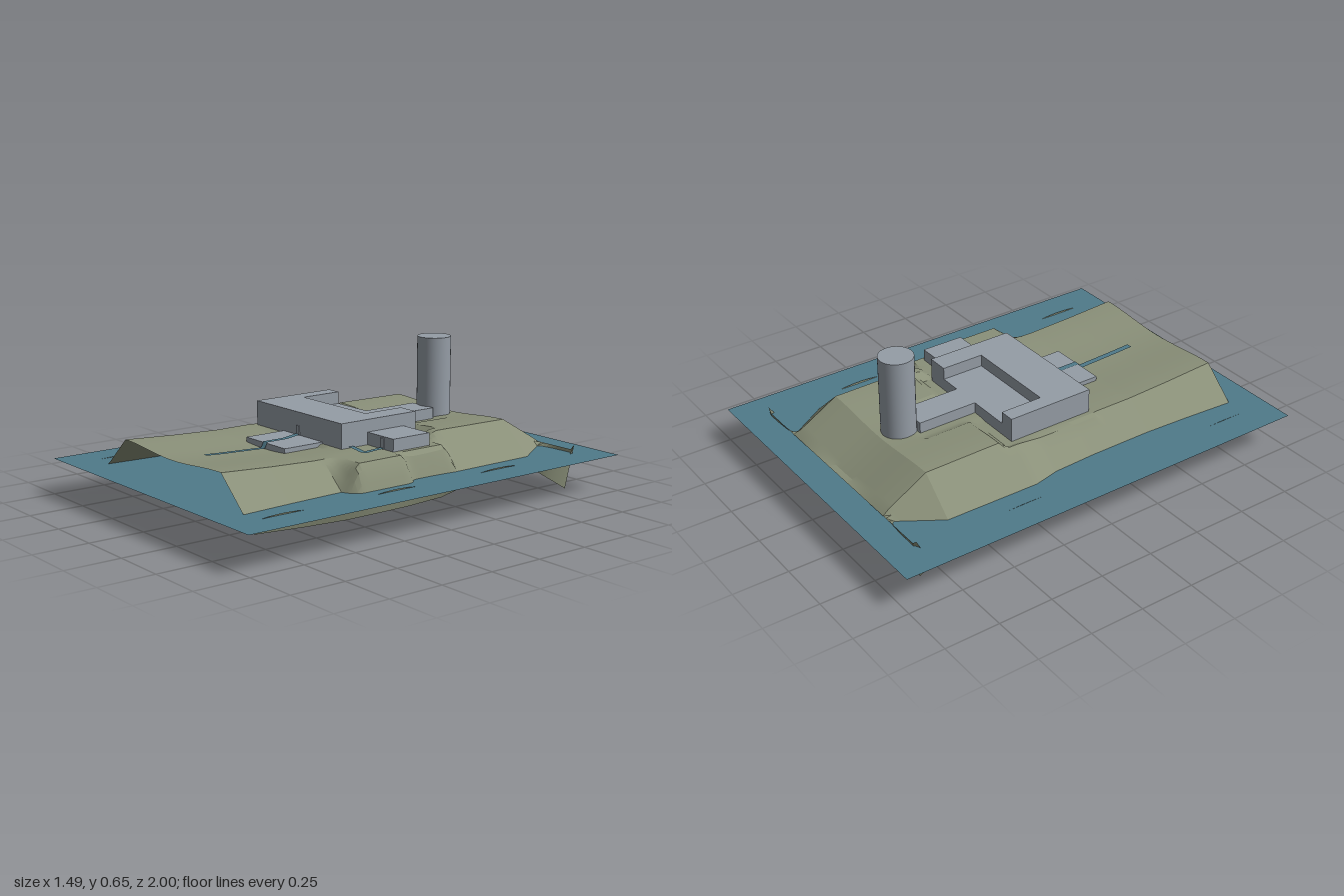
import * as THREE from 'three';
import { toCreasedNormals } from 'three/addons/utils/BufferGeometryUtils.js';

const WATER_Y = 0.168;
const { lerp, clamp } = THREE.MathUtils;

// Piecewise linear curve through [position, value] pairs
function curve(keys, t) {
  for (let i = 1; i < keys.length; i++) {
    const [a, va] = keys[i - 1], [b, vb] = keys[i];
    if (t <= b) return lerp(va, vb, clamp((t - a) / (b - a), 0, 1));
  }
  return keys[keys.length - 1][1];
}

// Ridge height along the island, back to front
const RIDGE = [[-0.84, 0.205], [-0.66, 0.31], [-0.22, 0.315], [-0.1, 0.29], [0.1, 0.282], [0.4, 0.281], [0.62, 0.29], [0.86, 0.304]];
// Levelled ground: x0, x1, z0, z1, height, falloff
const PADS = [
  [-0.37, 0.29, -0.27, 0.2, 0.28, 0.02],
  [-0.11, 0.11, -0.5, -0.2, 0.285, 0.03],
  [0.27, 0.47, -0.2, 0.06, 0.28, 0.05],
  [0.36, 0.505, 0.06, 0.29, 0.28, 0.07],
];

function groundHeight(x, z) {
  const ax = Math.abs(x);
  const across = ax > 0.36 ? -(ax - 0.36) * 0.905 : -0.01 - 0.01 * Math.cos(Math.PI * ax / 0.36);
  let y = curve(RIDGE, z) + across;
  for (const [x0, x1, z0, z1, h, fall] of PADS) {
    const d = Math.hypot(Math.max(x0 - x, 0, x - x1), Math.max(z0 - z, 0, z - z1));
    y = lerp(y, h, clamp(1 - d / fall, 0, 1));
  }
  return y;
}

// Island sheet with a raised lip along both sides and the back
function islandGeometry() {
  const xs = [-0.608], zs = [-0.868];
  for (let i = 0; i <= 58; i++) xs.push(-0.58 + i * 0.02);
  xs.push(0.602);
  for (let j = 0; j <= 85; j++) zs.push(-0.84 + j * 0.02);
  const pos = [], idx = [], n = xs.length;
  zs.forEach((z, j) => xs.forEach((x, i) => {
    const side = i === 0 || i === n - 1;
    let y;
    if (j === 0) y = side ? 0.205 : 0.182;
    else if (side) y = x > 0 ? 0.163 + 0.012 * Math.sin(11 * z + 6) : 0.158 + 0.012 * Math.sin(5.8 * z - 2.7);
    else y = groundHeight(x, z);
    pos.push(x, y, z);
    if (i < n - 1 && j < zs.length - 1) {
      const a = j * n + i, b = a + n;
      idx.push(a, b, a + 1, a + 1, b, b + 1);
    }
  }));
  const g = new THREE.BufferGeometry();
  g.setAttribute('position', new THREE.Float32BufferAttribute(pos, 3));
  g.setIndex(idx);
  return toCreasedNormals(g, 0.35);
}

// Flat ribbon along [x, z] points, draped by a height rule
function ribbonGeometry(points, width, height) {
  const pos = [], idx = [];
  const path = new THREE.CurvePath();
  for (let i = 1; i < points.length; i++) {
    path.add(new THREE.LineCurve(new THREE.Vector2(...points[i - 1]), new THREE.Vector2(...points[i])));
  }
  const steps = 40;
  for (let i = 0; i <= steps; i++) {
    const p = path.getPointAt(i / steps), t = path.getTangentAt(i / steps);
    const y = height(p.x, p.y), w = width / 2;
    pos.push(p.x + t.y * w, y, p.y - t.x * w, p.x - t.y * w, y, p.y + t.x * w);
    if (i < steps) {
      const a = i * 2;
      idx.push(a, a + 2, a + 1, a + 1, a + 2, a + 3);
    }
  }
  const g = new THREE.BufferGeometry();
  g.setAttribute('position', new THREE.Float32BufferAttribute(pos, 3));
  g.setIndex(idx);
  g.computeVertexNormals();
  return g;
}

export function createModel() {
  const group = new THREE.Group();
  const material = (name, color, side = THREE.FrontSide) => {
    const m = new THREE.MeshStandardMaterial({ color, side });
    m.name = name;
    return m;
  };
  const earth = material('earth', 0x8a9079, THREE.DoubleSide);
  const water = material('water', 0x4f7a8a, THREE.DoubleSide);
  const concrete = material('concrete', 0x959da6);

  const add = (name, geometry, mat) => {
    const mesh = new THREE.Mesh(geometry, mat);
    mesh.name = name;
    group.add(mesh);
    return mesh;
  };
  // Box given by its extents
  const box = (name, x0, x1, y0, y1, z0, z1) =>
    add(name, new THREE.BoxGeometry(x1 - x0, y1 - y0, z1 - z0), concrete)
      .position.set((x0 + x1) / 2, (y0 + y1) / 2, (z0 + z1) / 2);

  // Water and land
  const sea = add('waterSurface', new THREE.PlaneGeometry(1.49, 2), water);
  sea.rotation.x = -Math.PI / 2;
  sea.position.y = WATER_Y;
  add('island', islandGeometry(), earth);

  // Main hall: U-shaped plan around a low court open to the back
  const plan = new THREE.Shape([
    [-0.34, -0.19], [0.27, -0.19], [0.27, 0.22], [0.17, 0.22],
    [0.17, 0.02], [-0.27, 0.02], [-0.27, 0.22], [-0.34, 0.22],
  ].map(([x, y]) => new THREE.Vector2(x, y)));
  const hall = add('mainHall', new THREE.ExtrudeGeometry(plan, { depth: 0.12, bevelEnabled: false }), concrete);
  hall.rotation.x = -Math.PI / 2;
  hall.position.y = 0.27;
  box('courtRoof', -0.27, 0.17, 0.27, 0.335, -0.22, -0.02);

  // Wings, terrace and doors
  box('rearCorridor', -0.07, 0.07, 0.27, 0.335, -0.5, -0.22);
  box('sideAnnex', 0.27, 0.44, 0.27, 0.335, -0.15, 0.05);
  box('frontTerrace', -0.14, 0.14, 0.25, 0.288, 0.19, 0.39);
  box('frontDoor', -0.045, -0.022, 0.28, 0.33, 0.188, 0.194);
  box('annexDoor', 0.36, 0.382, 0.28, 0.328, 0.048, 0.054);

  // Round tower
  add('tower', new THREE.CylinderGeometry(0.077, 0.077, 0.372, 32), concrete)
    .position.set(0, 0.466, -0.563);

  // Paths
  const onGround = (x, z) => (z < 0.39 && Math.abs(x) < 0.14 ? 0.292 : groundHeight(x, z) + 0.006);
  add('frontPath', ribbonGeometry([[-0.033, 0.19], [0, 0.29], [0, 0.695]], 0.027, onGround), water);
  add('sidePath', ribbonGeometry([[0.372, 0.05], [0.39, 0.165], [0.27, 0.14]], 0.024, onGround), water);

  return group;
}
